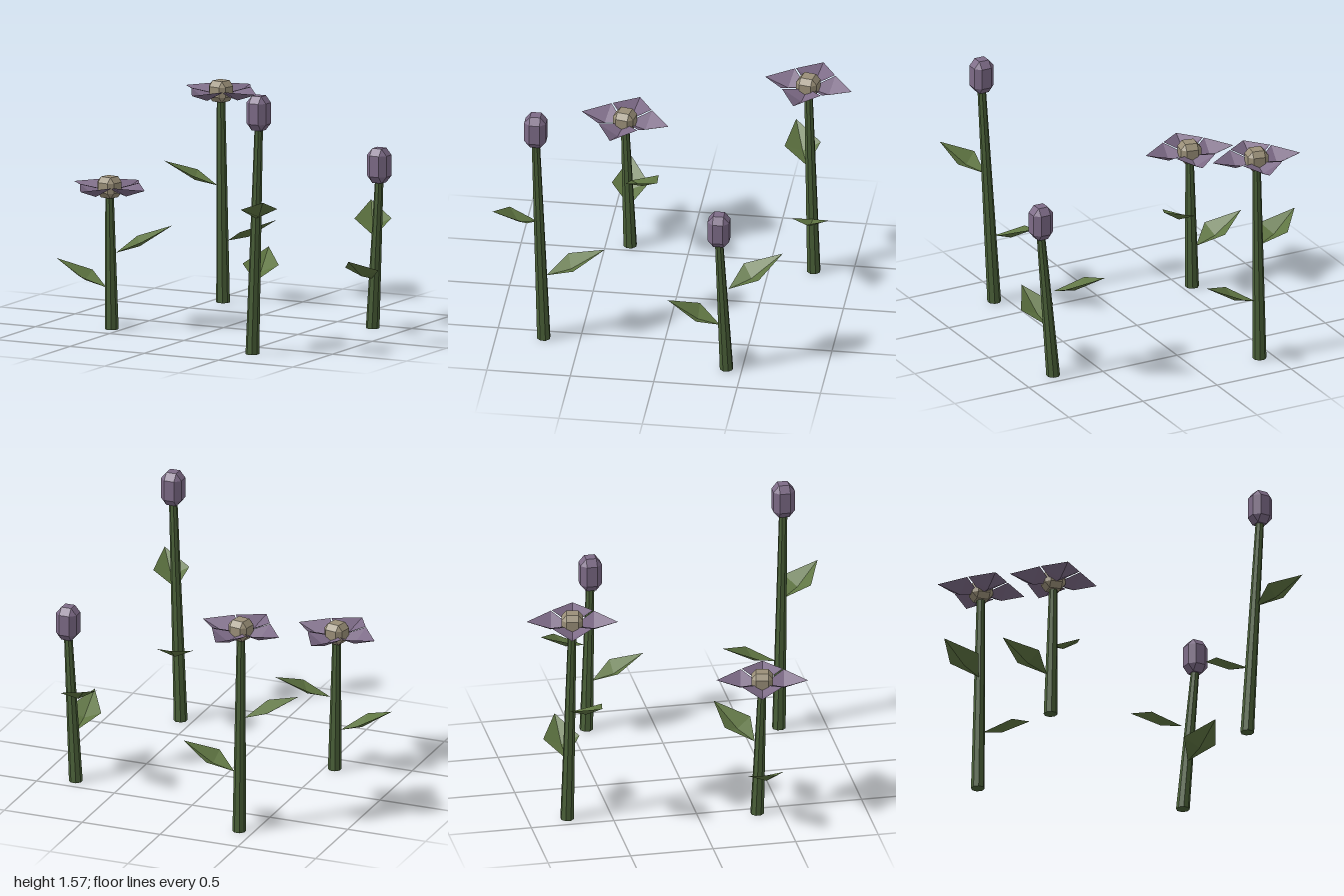
import * as THREE from 'three';
import { ConvexGeometry } from 'three/addons/geometries/ConvexGeometry.js';

const mat = (color, side = THREE.FrontSide) =>
  new THREE.MeshStandardMaterial({ color, flatShading: true, side });
const stemMat = mat(0x4a6038);
const leafMat = mat(0x5f7542, THREE.DoubleSide);
const petalMat = mat(0x7d6b87, THREE.DoubleSide);
const budMat = mat(0x7d6b87);
const centreMat = mat(0x9a8f78);

function add(parent, name, geometry, material) {
  const mesh = new THREE.Mesh(geometry, material);
  mesh.name = name;
  parent.add(mesh);
  return mesh;
}

// Slanted, tapering stem whose ends stay level
function stemGeometry(base, top) {
  const h = top.y - base.y;
  const g = new THREE.CylinderGeometry(0.025, 0.041, h, 8);
  g.rotateY(Math.PI / 8);
  const p = g.attributes.position;
  for (let i = 0; i < p.count; i++) {
    const t = p.getY(i) / h + 0.5;
    p.setXYZ(i, p.getX(i) + THREE.MathUtils.lerp(base.x, top.x, t), base.y + t * h,
      p.getZ(i) + THREE.MathUtils.lerp(base.z, top.z, t));
  }
  return g.toNonIndexed();
}

// Folded kite: four facets meeting at a lowered point on the midrib
function kiteGeometry(base, tip, at, halfWidth, lift, sag) {
  const dir = tip.clone().sub(base);
  const side = new THREE.Vector3(-dir.z, 0, dir.x).normalize().multiplyScalar(halfWidth);
  const mid = base.clone().addScaledVector(dir, at);
  const right = mid.clone().add(side);
  const left = mid.clone().sub(side);
  right.y += lift;
  left.y += lift;
  mid.y -= sag;
  const ring = [base, right, tip, left];
  const points = ring.flatMap((v, i) => [mid, ring[(i + 1) % 4], v]);
  const g = new THREE.BufferGeometry().setFromPoints(points);
  g.computeVertexNormals();
  return g;
}

// Bevelled block: square caps, eight sides, triangular corners
function bevelBlock(inner, outer, belt, half) {
  const pts = [];
  for (const x of [-1, 1]) for (const y of [-1, 1]) for (const z of [-1, 1]) {
    pts.push(new THREE.Vector3(x * inner, y * half, z * inner),
      new THREE.Vector3(x * outer, y * belt, z * inner),
      new THREE.Vector3(x * inner, y * belt, z * outer));
  }
  return new ConvexGeometry(pts);
}

function addFlower(plant, top) {
  const flower = new THREE.Group();
  flower.name = 'flower';
  flower.position.copy(top);
  flower.rotation.y = -0.2;
  for (let i = 0; i < 4; i++) {
    const petal = kiteGeometry(new THREE.Vector3(0, -0.02, 0.01),
      new THREE.Vector3(0, 0.005, 0.272), 0.45, 0.122, 0.03, 0.035);
    add(flower, 'petal', petal, petalMat).rotation.y = i * Math.PI / 2;
  }
  add(flower, 'flowerCentre', bevelBlock(0.036, 0.064, 0.03, 0.063), centreMat);
  plant.add(flower);
}

// Each plant: stem ends, head type, and leaves as [base, tip]
const plants = [
  { name: 'tallFlowerPlant', base: [-0.413, 0, -0.766], top: [-0.41, 1.28, -0.734], open: true,
    leaves: [[[-0.38, 0.375, -0.765], [-0.055, 0.525, -0.77]],
      [[-0.43, 0.71, -0.725], [-0.73, 0.85, -0.617]]] },
  { name: 'shortFlowerPlant', base: [-0.563, 0, 0.355], top: [-0.562, 0.862, 0.386], open: true,
    leaves: [[[-0.595, 0.25, 0.365], [-0.914, 0.405, 0.394]],
      [[-0.54, 0.46, 0.345], [-0.264, 0.617, 0.152]]] },
  { name: 'tallBudPlant', base: [0.577, 0, 0.717], top: [0.641, 1.465, 0.756], open: false,
    leaves: [[[0.585, 0.435, 0.7], [0.497, 0.587, 0.362]],
      [[0.62, 0.825, 0.75], [0.795, 0.973, 0.995]]] },
  { name: 'shortBudPlant', base: [0.786, 0, -0.407], top: [0.85, 0.992, -0.371], open: false,
    leaves: [[[0.79, 0.55, -0.42], [0.608, 0.712, -0.72]],
      [[0.8, 0.305, -0.37], [0.809, 0.455, -0.057]]] },
];

export function createModel() {
  const model = new THREE.Group();
  model.name = 'flowerPatch';
  for (const { name, base, top, open, leaves } of plants) {
    const plant = new THREE.Group();
    plant.name = name;
    const head = new THREE.Vector3(...top);
    const stemTop = head.clone();
    stemTop.y -= open ? 0.03 : 0.08;
    add(plant, 'stem', stemGeometry(new THREE.Vector3(...base), stemTop), stemMat);
    for (const [from, to] of leaves) {
      add(plant, 'leaf', kiteGeometry(new THREE.Vector3(...from), new THREE.Vector3(...to),
        0.42, 0.11, 0.015, 0.03), leafMat);
    }
    if (open) addFlower(plant, head);
    else add(plant, 'bud', bevelBlock(0.031, 0.065, 0.063, 0.104), budMat).position.copy(head);
    model.add(plant);
  }
  return model;
}
